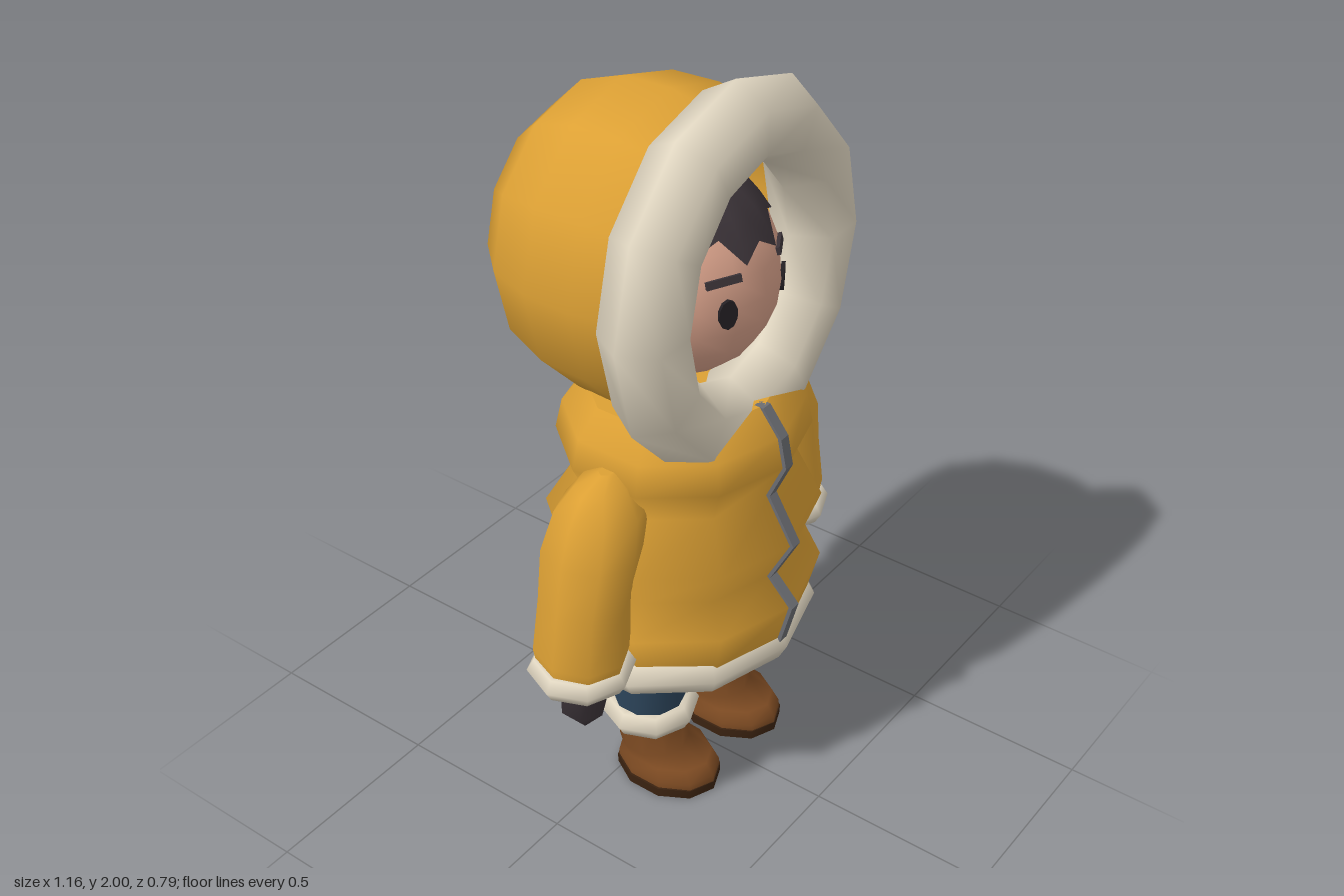
import * as THREE from 'three';
import { mergeVertices } from 'three/addons/utils/BufferGeometryUtils.js';

const mat = (name, color, side = THREE.FrontSide) => {
  const m = new THREE.MeshStandardMaterial({ color, side });
  m.name = name;
  return m;
};

// Skin of elliptical horizontal rings [y, cx, cz, rx, rz], bottom to top, with hard flat caps
function loft(rings, segs) {
  const first = rings[0], last = rings[rings.length - 1];
  const point = r => [r[0], r[1], r[2], 0, 0];
  const rows = [point(first), first, ...rings, last, point(last)];
  const pos = [], idx = [];
  rows.forEach(([y, cx, cz, rx, rz], i) => {
    for (let j = 0; j < segs; j++) {
      const a = (j / segs) * Math.PI * 2;
      pos.push(cx + Math.sin(a) * rx, y, cz + Math.cos(a) * rz);
      if (i === rows.length - 1) continue;
      const k = (j + 1) % segs, p = i * segs, q = p + segs;
      idx.push(p + j, p + k, q + k, p + j, q + k, q + j);
    }
  });
  const g = new THREE.BufferGeometry();
  g.setAttribute('position', new THREE.Float32BufferAttribute(pos, 3));
  g.setIndex(idx);
  g.computeVertexNormals();
  return g;
}

// Horizontal six-sided fur roll; vertices start at the front
function furRoll(outerX, outerZ, tube, segs) {
  const g = new THREE.TorusGeometry(outerX - tube, tube, 6, segs);
  g.rotateZ(Math.PI / 2).rotateX(Math.PI / 2);
  return g.scale(1, 1, outerZ / outerX);
}

export function createModel() {
  const yellow = mat('coat yellow', 0xdca034);
  const lining = mat('hood yellow', 0xdca034, THREE.DoubleSide);
  const fur = mat('cream fur', 0xdfd5c0);
  const skin = mat('skin', 0xd8a18a);
  const hairDark = mat('dark hair', 0x3b3338);
  const black = mat('eye black', 0x242024);
  const denim = mat('denim blue', 0x2c445a);
  const leather = mat('boot brown', 0x7c4a22);
  const sole = mat('sole brown', 0x3a2210);
  const grey = mat('zip grey', 0x6b6d72);

  const model = new THREE.Group();
  const add = (name, geo, material, parent = model) => {
    const m = new THREE.Mesh(geo, material);
    m.name = name;
    parent.add(m);
    return m;
  };

  // Quilted coat: [y, depth radius]
  const coatZ = 0.045;
  const profile = [[0.485, 0.315], [0.61, 0.347], [0.68, 0.278], [0.805, 0.343],
    [0.93, 0.267], [1.03, 0.312], [1.11, 0.295], [1.18, 0.24]];
  add('coat', loft(profile.map(([y, r]) => [y, 0, coatZ, r * 1.1, r]), 10), yellow);
  add('coatHem', furRoll(0.388, 0.343, 0.055, 10), fur).position.set(0, 0.465, 0.035);

  // Zip strip following the coat front
  const edge = off => profile.map(([y, r]) => new THREE.Vector2(coatZ + r + off, y));
  const zip = new THREE.ExtrudeGeometry(
    new THREE.Shape([...edge(-0.02), ...edge(0.006).reverse()]),
    { depth: 0.03, bevelEnabled: false });
  zip.rotateY(-Math.PI / 2).translate(0.015, 0, 0);
  add('zip', zip, grey);

  // Hood shell: a dome turned around the z axis, open at the front
  const dome = [[0, -0.395], [0.25, -0.357], [0.34, -0.26], [0.382, -0.135],
    [0.387, 0], [0.37, 0.09], [0.35, 0.18]];
  const hood = new THREE.LatheGeometry(dome.map(p => new THREE.Vector2(...p)), 12);
  hood.rotateX(Math.PI / 2).scale(1, 1.06, 1).translate(0, 1.52, 0);
  add('hood', hood, lining);

  // Fur ring around the face, stretched upright
  const trim = new THREE.TorusGeometry(0.344, 0.106, 6, 12);
  const tp = trim.attributes.position;
  for (let i = 0; i < tp.count; i++) {
    const u = Math.atan2(tp.getY(i), tp.getX(i));
    tp.setY(i, tp.getY(i) + Math.sin(u) * 0.046);
  }
  add('hoodTrim', trim, fur).position.set(0, 1.505, 0.182);

  // Head
  const R = new THREE.Vector3(0.235, 0.268, 0.25), C = new THREE.Vector3(0, 1.48, 0.03);
  const ball = new THREE.SphereGeometry(1, 16, 12).scale(R.x, R.y, R.z);
  add('head', ball, skin).position.copy(C);

  // Hair cap with a zigzag fringe: [angle from the front, rim height]
  const rim = [[0, 0.5], [15, 0.37], [30, 0.6], [90, 0.24], [180, -0.3]];
  const rimHeight = deg => {
    const i = Math.max(1, rim.findIndex(r => r[0] >= deg - 0.01));
    const [a0, h0] = rim[i - 1], [a1, h1] = rim[i];
    return h0 + (h1 - h0) * (deg - a0) / (a1 - a0);
  };
  let hair = new THREE.SphereGeometry(1, 24, 6, 0, Math.PI * 2, 0, 1);
  const hp = hair.attributes.position;
  for (let i = 0; i < hp.count; i++) {
    const a = Math.atan2(hp.getX(i), hp.getZ(i));
    const deg = Math.min(179.9, Math.abs(a) * 180 / Math.PI);
    const t = Math.acos(Math.min(1, hp.getY(i))) * Math.acos(rimHeight(deg));
    hp.setXYZ(i, Math.sin(t) * Math.sin(a), Math.cos(t), Math.sin(t) * Math.cos(a));
  }
  hair.deleteAttribute('uv');
  hair.deleteAttribute('normal');
  hair = mergeVertices(hair.scale(R.x, R.y, R.z).scale(1.04, 1.045, 1.04), 1e-4);
  hair.computeVertexNormals();
  add('hair', hair, hairDark).position.copy(C);

  // Place a thin plate on the face, turned along the surface
  const onFace = (mesh, x, y) => {
    const dx = x / R.x, dy = (y - C.y) / R.y;
    const dz = Math.sqrt(1 - dx * dx - dy * dy);
    mesh.position.set(x, y, C.z + dz * R.z);
    mesh.lookAt(x + dx / R.x, y + dy / R.y, mesh.position.z + dz / R.z);
    return mesh;
  };

  for (const s of [-1, 1]) {
    const side = s > 0 ? 'left' : 'right';

    // Eye and brow
    const eye = new THREE.CylinderGeometry(1, 1, 0.0095, 10).rotateX(Math.PI / 2).scale(0.024, 0.039, 1);
    onFace(add(side + 'Eye', eye, black), s * 0.112, 1.475);
    onFace(add(side + 'Brow', new THREE.BoxGeometry(0.088, 0.019, 0.0099), hairDark),
      s * 0.113, 1.557).rotateZ(-s * 0.07);

    // Sleeve, cuff and mitten
    const arm = [[0.55, 0.44, 0.105, 0.115], [0.6, 0.437, 0.115, 0.127], [0.75, 0.42, 0.108, 0.12],
      [0.88, 0.385, 0.122, 0.13], [0.98, 0.345, 0.125, 0.11], [1.045, 0.33, 0.09, 0.065],
      [1.07, 0.315, 0.03, 0.02]];
    add(side + 'Sleeve', loft(arm.map(([y, x, rx, rz]) => [y, s * x, 0.052, rx, rz]), 8), yellow);
    add(side + 'Cuff', furRoll(0.138, 0.138, 0.036, 8), fur).position.set(s * 0.44, 0.542, 0.053);
    const mitten = [[0.345, 0.003, 0.003], [0.41, 0.063, 0.058], [0.53, 0.063, 0.058]];
    add(side + 'Mitten', loft(mitten.map(([y, rx, rz]) => [y, s * 0.443, 0.06, rx, rz]), 6), hairDark);
    add(side + 'Thumb', new THREE.SphereGeometry(0.03, 6, 5), hairDark).position.set(s * 0.388, 0.472, 0.075);

    // Trouser leg, boot fur, boot and sole
    const x = s * 0.145;
    add(side + 'Leg', loft([[0.17, x, 0.04, 0.1, 0.098], [0.55, x, 0.04, 0.1, 0.098]], 10), denim);
    add(side + 'BootFur', furRoll(0.135, 0.135, 0.04, 8), fur).position.set(x, 0.2, 0.04);
    const boot = [[0.025, 0.105, 0.113, 0.149], [0.045, 0.105, 0.113, 0.148],
      [0.078, 0.098, 0.102, 0.132], [0.092, 0.056, 0.093, 0.095], [0.2, 0.04, 0.091, 0.09]];
    add(side + 'Boot', loft(boot.map(([y, z, rx, rz]) => [y, x, z, rx, rz]), 10), leather);
    add(side + 'Sole', loft([[0, x, 0.105, 0.119, 0.151], [0.026, x, 0.105, 0.119, 0.151]], 10), sole);
  }
  return model;
}
